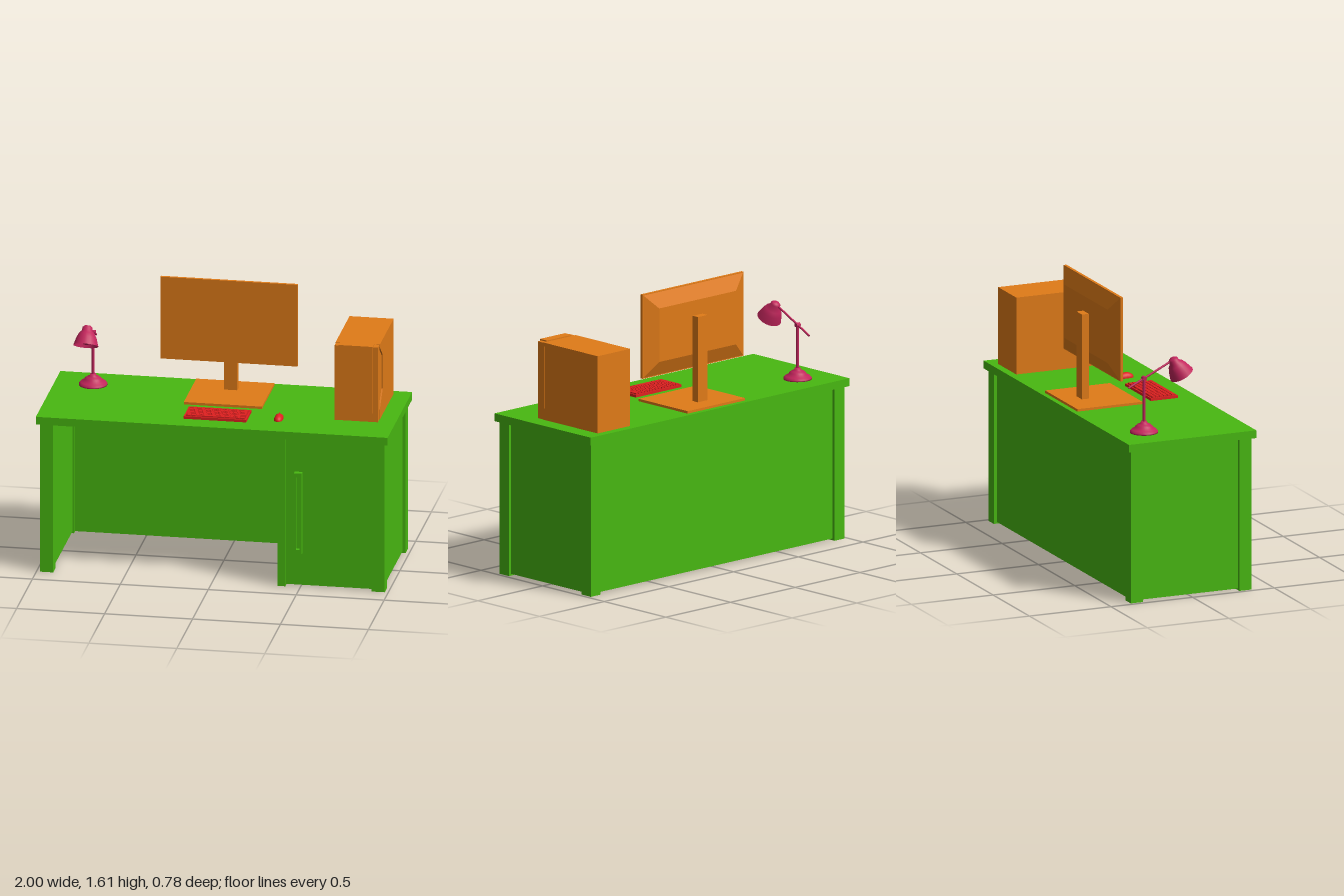
import * as THREE from 'three';

const mat = (color, extra = {}) => new THREE.MeshStandardMaterial({ color, ...extra });

export function createModel() {
  const model = new THREE.Group();
  const green = mat(0x48b811), orange = mat(0xe07b18), red = mat(0xe02020);
  const pink = mat(0xc2255c), pinkOpen = mat(0xc2255c, { side: THREE.DoubleSide });

  const group = (name) => {
    const g = new THREE.Group();
    g.name = name;
    model.add(g);
    return g;
  };
  const add = (parent, name, geometry, material) => {
    const m = new THREE.Mesh(geometry, material);
    m.name = name;
    parent.add(m);
    return m;
  };
  // Box given by its extents on each axis
  const box = (parent, name, material, [x0, x1], [y0, y1], [z0, z1]) => {
    const m = add(parent, name, new THREE.BoxGeometry(x1 - x0, y1 - y0, z1 - z0), material);
    m.position.set((x0 + x1) / 2, (y0 + y1) / 2, (z0 + z1) / 2);
    return m;
  };
  const shapeOf = (pts) => new THREE.Shape(pts.map(([x, y]) => new THREE.Vector2(x, y)));
  const lathe = (parent, name, pts, material, segments = 24) =>
    add(parent, name, new THREE.LatheGeometry(pts.map(([r, y]) => new THREE.Vector2(r, y)), segments), material);

  // Desk: top, corner posts and inset panels, open underneath
  const desk = group('desk');
  box(desk, 'deskTop', green, [-1, 1], [0.88, 0.925], [-0.39, 0.39]);
  for (const s of [-1, 1]) {
    const x = s < 0 ? [-0.98, -0.905] : [0.905, 0.98];
    box(desk, 'frontPost', green, x, [0, 0.88], [0.295, 0.37]);
    box(desk, 'backPost', green, x, [0, 0.88], [-0.37, -0.295]);
    box(desk, 'sidePanel', green, s < 0 ? [-0.962, -0.915] : [0.915, 0.962], [0.01, 0.88], [-0.3, 0.3]);
  }
  box(desk, 'backPanel', green, [-0.91, 0.91], [0.01, 0.88], [-0.352, -0.305]);
  box(desk, 'cabinetPost', green, [0.37, 0.415], [0, 0.88], [0.325, 0.37]);
  box(desk, 'cabinetPanel', green, [0.375, 0.41], [0.01, 0.88], [-0.31, 0.33]);
  box(desk, 'cabinetDoor', green, [0.41, 0.91], [0.01, 0.88], [0.325, 0.355]);

  // Door handle: slim rectangular frame
  const rect = (w, h) => [[-w, -h], [w, -h], [w, h], [-w, h]];
  const frame = shapeOf(rect(0.022, 0.24));
  frame.holes.push(shapeOf(rect(0.011, 0.215)));
  const handle = add(desk, 'doorHandle',
    new THREE.ExtrudeGeometry(frame, { depth: 0.03, bevelEnabled: false }), green);
  handle.position.set(0.488, 0.44, 0.355);

  // Monitor: thin slab, tapered back, column and foot plate
  const monitor = group('monitor');
  box(monitor, 'screen', orange, [-0.39, 0.39], [1.12, 1.605], [-0.172, -0.155]);
  const taper = new THREE.BoxGeometry(0.77, 0.475, 0.036);
  const p = taper.attributes.position;
  for (let i = 0; i < p.count; i++) {
    if (p.getZ(i) < 0) p.setXY(i, p.getX(i) * 0.77, p.getY(i) * 0.65);
  }
  taper.computeVertexNormals();
  add(monitor, 'screenBack', taper, orange).position.set(0, 1.3625, -0.19);
  box(monitor, 'standColumn', orange, [-0.038, 0.038], [0.935, 1.43], [-0.25, -0.207]);
  box(monitor, 'standBase', orange, [-0.222, 0.222], [0.925, 0.939], [-0.36, 0.038]);

  // Computer tower: core, notched side covers and stepped front
  const tower = group('computerTower');
  box(tower, 'towerBody', orange, [0.66, 0.895], [0.925, 1.37], [-0.345, 0.095]);
  const cover = shapeOf([[0.345, 0.925], [-0.095, 0.925], [-0.095, 0.985], [0, 1.075],
    [0, 1.275], [-0.095, 1.355], [-0.095, 1.37], [0.345, 1.37]]);
  const coverGeo = new THREE.ExtrudeGeometry(cover, { depth: 0.008, bevelEnabled: false });
  for (const x of [0.652, 0.895]) {
    const m = add(tower, 'sideCover', coverGeo, orange);
    m.rotation.y = Math.PI / 2;
    m.position.x = x;
  }
  box(tower, 'frontPanel', orange, [0.655, 0.9], [0.925, 1.368], [0.095, 0.143]);
  box(tower, 'frontDoor', orange, [0.68, 0.873], [0.978, 1.375], [0.1, 0.155]);

  // Keyboard: tray, raised rim and rows of keys
  const keyboard = group('keyboard');
  box(keyboard, 'keyboardTray', red, [-0.18, 0.175], [0.925, 0.934], [0.11, 0.275]);
  for (const z of [0.11, 0.267]) box(keyboard, 'rim', red, [-0.18, 0.175], [0.93, 0.94], [z, z + 0.008]);
  for (const x of [-0.18, 0.167]) box(keyboard, 'rim', red, [x, x + 0.008], [0.93, 0.94], [0.11, 0.275]);
  const rows = [
    Array(15).fill(1), [...Array(13).fill(1), 2], [1.5, ...Array(12).fill(1), 1.5],
    [1.8, ...Array(11).fill(1), 2.2], [2.2, ...Array(10).fill(1), 2.8], [1.3, 1.3, 1.3, 6, 1.3, 1.3, 1.25, 1.25],
  ];
  rows.forEach((row, r) => {
    const z = 0.121 + r * 0.0242;
    let x = -0.17;
    for (const units of row) {
      const w = units * 0.335 / 15;
      box(keyboard, 'key', red, [x + 0.002, x + w - 0.002], [0.932, 0.946], [z + 0.002, z + 0.0215]);
      x += w;
    }
  });

  // Mouse: low dome, slightly narrower at the waist, with a wheel
  const mouse = group('mouse');
  const dome = new THREE.SphereGeometry(1, 20, 12, 0, Math.PI * 2, 0, Math.PI / 2);
  const d = dome.attributes.position;
  for (let i = 0; i < d.count; i++) {
    const z = d.getZ(i);
    d.setX(i, d.getX(i) * (1 - 0.12 * Math.cos(z * 3)));
  }
  dome.scale(0.028, 0.03, 0.048);
  dome.computeVertexNormals();
  add(mouse, 'mouseBody', dome, red).position.set(0.345, 0.925, 0.187);
  const wheel = add(mouse, 'mouseWheel', new THREE.CylinderGeometry(0.007, 0.007, 0.006, 12), red);
  wheel.rotation.z = Math.PI / 2;
  wheel.position.set(0.345, 0.949, 0.165);

  // Desk lamp: stepped foot, rod, tilted arm and bell shade
  const lamp = group('deskLamp');
  lamp.position.set(-0.78, 0, -0.2);
  lathe(lamp, 'lampFoot', [[0, 0.925], [0.08, 0.925], [0.08, 0.933], [0.07, 0.944], [0.052, 0.951],
    [0.048, 0.962], [0.035, 0.972], [0.02, 0.978], [0.016, 0.99], [0, 0.99]], pink);
  const rod = (name, a, b, r) => {
    const va = new THREE.Vector3(...a), vb = new THREE.Vector3(...b);
    const m = add(lamp, name, new THREE.CylinderGeometry(r, r, va.distanceTo(vb), 12), pink);
    m.position.copy(va).lerp(vb, 0.5);
    m.quaternion.setFromUnitVectors(new THREE.Vector3(0, 1, 0), vb.sub(va).normalize());
  };
  rod('lampRod', [0, 0.98, 0], [0, 1.245, 0], 0.009);
  rod('lampArm', [0, 1.19, -0.095], [0, 1.32, 0.17], 0.006);
  rod('armHinge', [-0.014, 1.237, 0], [0.014, 1.237, 0], 0.012);

  const head = new THREE.Group();
  head.name = 'lampHead';
  head.position.set(0, 1.235, 0.23);
  head.rotation.x = -Math.PI / 6;
  lamp.add(head);
  lathe(head, 'lampShade', [[0.071, 0], [0.066, 0.015], [0.057, 0.045], [0.045, 0.07],
    [0.03, 0.086], [0.028, 0.105], [0.018, 0.114], [0, 0.117]], pinkOpen);
  add(head, 'bulb', new THREE.SphereGeometry(0.03, 16, 12), pink).position.y = 0.035;

  return model;
}
